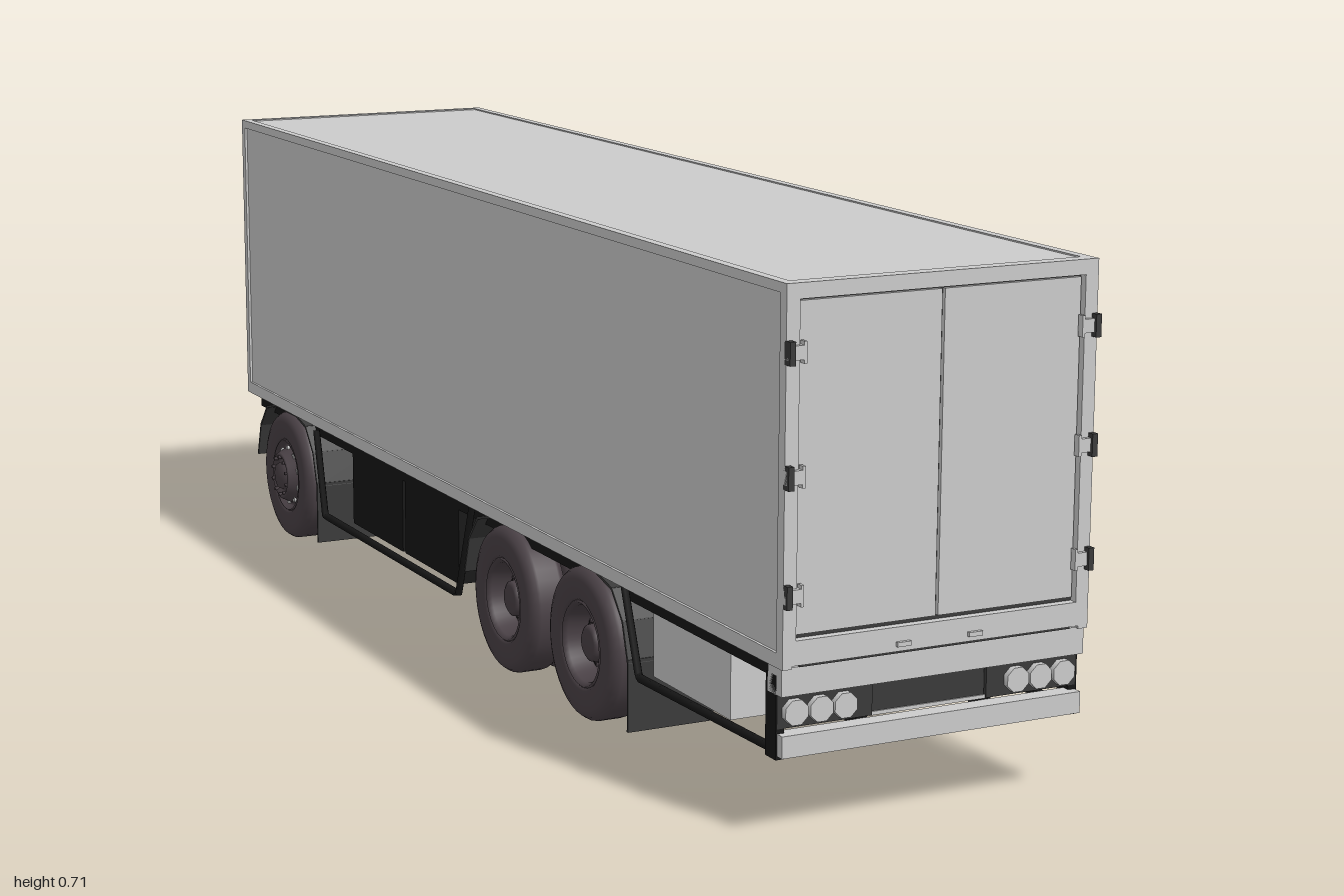
import * as THREE from 'three';

const mat = (color, side = THREE.FrontSide) => new THREE.MeshStandardMaterial({ color, side });
const GREY = mat(0xcccccc);
const DARK = mat(0x3a3a3a);
const BLACK = mat(0x161616);
const TYRE = mat(0x4a4146);
const SHEET = mat(0x3a3a3a, THREE.DoubleSide);

export function createModel() {
  const root = new THREE.Group();

  const add = (name, geo, m, parent = root) => {
    const mesh = new THREE.Mesh(geo, m);
    mesh.name = name;
    parent.add(mesh);
    return mesh;
  };
  // Box given by its limits on each axis
  const box = (name, m, x0, x1, y0, y1, z0, z1, parent = root) => {
    const b = add(name, new THREE.BoxGeometry(x1 - x0, y1 - y0, z1 - z0), m, parent);
    b.position.set((x0 + x1) / 2, (y0 + y1) / 2, (z0 + z1) / 2);
    return b;
  };
  // The same box on both sides
  const pair = (name, m, x0, x1, ...rest) => {
    box(name, m, x0, x1, ...rest);
    box(name, m, -x1, -x0, ...rest);
  };
  const cyl = (name, m, r, len, x, y, z, axis = 'y', seg = 24) => {
    const c = add(name, new THREE.CylinderGeometry(r, r, len, seg), m);
    c.position.set(x, y, z);
    if (axis === 'x') c.rotation.z = Math.PI / 2;
    if (axis === 'z') c.rotation.x = Math.PI / 2;
    return c;
  };

  // Cargo body with raised edge frame
  box('cargoBody', GREY, -0.222, 0.222, 0.228, 0.708, -0.946, 0.976);
  pair('sideTopRail', GREY, 0.212, 0.226, 0.697, 0.71, -0.95, 0.99);
  pair('sideBottomRail', GREY, 0.212, 0.226, 0.226, 0.245, -0.95, 0.99);
  pair('noseCornerPost', GREY, 0.212, 0.226, 0.245, 0.697, -0.95, -0.936);
  pair('doorPost', GREY, 0.207, 0.226, 0.245, 0.697, 0.974, 0.99);
  box('noseTopRail', GREY, -0.212, 0.212, 0.697, 0.71, -0.95, -0.936);
  box('noseBottomRail', GREY, -0.212, 0.212, 0.226, 0.24, -0.95, -0.936);
  box('doorHeader', GREY, -0.212, 0.212, 0.69, 0.71, 0.97, 0.99);
  box('doorSill', GREY, -0.212, 0.212, 0.23, 0.262, 0.97, 0.99);
  box('sillSeam', DARK, -0.2, 0.2, 0.227, 0.23, 0.95, 0.988);

  // Doors, hinges and handles
  box('doorGap', DARK, -0.207, 0.207, 0.262, 0.69, 0.97, 0.978);
  pair('door', GREY, 0.002, 0.204, 0.268, 0.687, 0.97, 0.984);
  for (const s of [-1, 1]) {
    for (const y of [0.32, 0.47, 0.625]) {
      const h = new THREE.Group();
      h.name = 'hinge';
      h.position.set(s * 0.214, y, 0.99);
      root.add(h);
      box('hingeStrap', GREY, -0.012, 0.012, -0.009, 0.009, -0.004, 0.006, h);
      const a = s * 0.008;
      box('hingePlate', DARK, a - 0.004, a + 0.004, -0.015, 0.015, -0.004, 0.01, h);
      box('hingeEnd', GREY, -a - 0.002 - s * 0.004, -a + 0.002 - s * 0.004, -0.014, 0.014, -0.004, 0.006, h);
    }
    box('doorHandle', GREY, s * 0.053 - 0.01, s * 0.053 + 0.01, 0.237, 0.243, 0.985, 0.995);
  }

  // Chassis: I-beams and cross members
  box('floorPan', BLACK, -0.2, 0.2, 0.215, 0.228, -0.94, 0.97);
  for (const s of [-1, 1]) {
    const x = s * 0.085;
    box('railWeb', DARK, x - 0.005, x + 0.005, 0.152, 0.215, -0.96, 0.95);
    box('railFlange', GREY, x - 0.02, x + 0.02, 0.146, 0.152, -0.96, 0.95);
  }
  for (let i = 0; i < 13; i++) {
    const z = -0.9 + i * 0.15;
    box('crossMember', BLACK, -0.085, 0.085, 0.165, 0.215, z - 0.01, z + 0.01);
  }
  pair('sideSkirt', BLACK, 0.195, 0.205, 0.2, 0.226, -0.94, 0.97);

  // Tail beam, lamps, plate and underrun bumper
  box('tailBeam', GREY, -0.224, 0.224, 0.19, 0.227, 0.95, 0.985);
  box('platePanel', DARK, -0.084, 0.084, 0.149, 0.19, 0.955, 0.968);
  box('plateBracket', GREY, -0.088, 0.088, 0.144, 0.149, 0.95, 0.97);
  pair('lampHousing', DARK, 0.085, 0.222, 0.145, 0.19, 0.945, 0.972);
  for (const s of [-1, 1]) for (const x of [0.128, 0.163, 0.199]) {
    const lamp = cyl('tailLamp', GREY, 0.0175, 0.012, s * x, 0.166, 0.975, 'z', 8);
    lamp.geometry.rotateY(Math.PI / 8);
  }
  box('bumper', GREY, -0.222, 0.222, 0.11, 0.139, 0.96, 0.985);
  pair('bumperHanger', BLACK, 0.212, 0.224, 0.105, 0.215, 0.945, 0.972);
  pair('bumperArm', BLACK, 0.085, 0.1, 0.115, 0.15, 0.93, 0.96);

  // Towing nose with wedge plan and upright pin
  const wedge = new THREE.Shape([[-0.09, 0.95], [0.09, 0.95], [0.09, 0.985], [0, 1], [-0.09, 0.985]]
    .map(p => new THREE.Vector2(...p)));
  const nose = add('couplingBlock', new THREE.ExtrudeGeometry(wedge, { depth: 0.05, bevelEnabled: false }), GREY);
  nose.rotation.x = -Math.PI / 2;
  nose.position.y = 0.15;
  cyl('couplingPin', GREY, 0.018, 0.09, 0, 0.241, -0.977);

  // Wheels: tyre with dished rim, outer face along +y of the lathe
  const lathe = pts => new THREE.LatheGeometry(pts.map(p => new THREE.Vector2(...p)), 40);
  const tyreGeo = lathe([[0.058, 0.006], [0.062, 0], [0.094, 0], [0.104, 0.004], [0.109, 0.011], [0.11, 0.015],
    [0.11, 0.048], [0.109, 0.052], [0.104, 0.059], [0.094, 0.063], [0.066, 0.062], [0.062, 0.058]]);
  const dishGeo = lathe([[0, 0.008], [0.058, 0.006], [0.063, 0.058], [0.06, 0.061], [0.055, 0.054],
    [0.051, 0.026], [0.043, 0.022], [0.038, 0.03], [0.028, 0.03], [0.026, 0.046], [0.02, 0.05], [0, 0.05]]);
  const bulgeGeo = lathe([[0, 0.008], [0.058, 0.006], [0.063, 0.058], [0.06, 0.061], [0.056, 0.05],
    [0.05, 0.05], [0.04, 0.07], [0.036, 0.072], [0.028, 0.066], [0.024, 0.066], [0.021, 0.074], [0, 0.075]]);
  const nutGeo = new THREE.CylinderGeometry(0.003, 0.003, 0.008, 6);
  const holeGeo = new THREE.CylinderGeometry(0.005, 0.005, 0.004, 10);
  const wheel = (s, x, z, steer) => {
    const g = new THREE.Group();
    g.name = 'wheel';
    g.position.set(s * x, 0.11, z);
    g.rotation.z = -s * Math.PI / 2;
    root.add(g);
    add('tyre', tyreGeo, TYRE, g);
    add('rim', steer ? bulgeGeo : dishGeo, TYRE, g);
    for (let i = 0; i < 10; i++) {
      const a = i * Math.PI / 5;
      const r = 0.033;
      add('wheelNut', nutGeo, TYRE, g).position.set(r * Math.cos(a), steer ? 0.071 : 0.032, r * Math.sin(a));
      add('rimHole', holeGeo, steer ? GREY : BLACK, g)
        .position.set(0.0465 * Math.cos(a), steer ? 0.056 : 0.023, 0.0465 * Math.sin(a));
    }
  };
  for (const z of [0.41, 0.145, -0.77]) {
    const steer = z < 0;
    for (const s of [-1, 1]) {
      wheel(s, 0.163, z, steer);
      if (!steer) wheel(s, 0.097, z, false);
    }
    cyl('axle', BLACK, 0.014, 0.36, 0, 0.126, z, 'x', 16);
    pair('springHanger', BLACK, 0.075, 0.093, 0.115, 0.16, z - 0.05, z + 0.05);
  }

  // Fenders: bent sheets swept across each wheel, given as [z, y]
  const sheet = (name, pts, x0, x1) => {
    for (const s of [-1, 1]) {
      for (let i = 0; i + 1 < pts.length; i++) {
        const [z0, y0] = pts[i], [z1, y1] = pts[i + 1];
        const p = add(name, new THREE.BoxGeometry(x1 - x0, 0.004, Math.hypot(z1 - z0, y1 - y0) + 0.002), SHEET);
        p.position.set(s * (x0 + x1) / 2, (y0 + y1) / 2, (z0 + z1) / 2);
        p.rotation.x = -Math.atan2(y1 - y0, z1 - z0);
      }
    }
  };
  const half = (c, d) => [[c + d * 0.145, 0.12], [c + d * 0.128, 0.175], [c + d * 0.095, 0.213], [c + d * 0.05, 0.224]];
  sheet('frontFender', [...half(-0.77, -1), ...half(-0.77, 1).reverse()], 0.1, 0.222);
  sheet('rearFender', half(0.41, 1), 0.09, 0.222);
  sheet('rearFender', half(0.145, -1), 0.09, 0.222);
  pair('mudFlap', DARK, 0.09, 0.222, 0.022, 0.125, 0.553, 0.557);
  pair('mudFlap', DARK, 0.1, 0.222, 0.022, 0.125, -0.627, -0.623);

  // Tubular side guards, given as [z, y]
  const rail = pts => {
    for (const s of [-1, 1]) {
      const path = new THREE.CurvePath();
      const v = pts.map(([z, y]) => new THREE.Vector3(s * 0.217, y, z));
      for (let i = 0; i + 1 < v.length; i++) path.add(new THREE.LineCurve3(v[i], v[i + 1]));
      add('sideGuard', new THREE.TubeGeometry(path, 60, 0.006, 6), BLACK);
    }
  };
  rail([[0.97, 0.115], [0.58, 0.106], [0.535, 0.225]]);
  rail([[0.02, 0.225], [-0.035, 0.074], [-0.6, 0.074], [-0.635, 0.215]]);

  // Left side: equipment cabinet, air tank and battery box
  box('cabinet', GREY, 0.1, 0.2, 0.082, 0.205, -0.385, -0.135);
  box('cabinetDoor', DARK, 0.19, 0.204, 0.09, 0.197, -0.378, -0.165);
  cyl('airTank', GREY, 0.028, 0.18, 0.165, 0.12, -0.5, 'z');
  box('valveBox', GREY, 0.11, 0.195, 0.15, 0.202, -0.565, -0.45);

  // Right side: dark storage lockers and rear locker
  box('locker', BLACK, -0.205, -0.1, 0.082, 0.21, -0.275, -0.06);
  box('locker', BLACK, -0.205, -0.1, 0.082, 0.21, -0.5, -0.285);
  box('rearLocker', GREY, -0.195, -0.092, 0.105, 0.2, 0.58, 0.8);
  box('rearTray', BLACK, -0.07, 0.19, 0.155, 0.2, 0.6, 0.9);

  return root;
}
